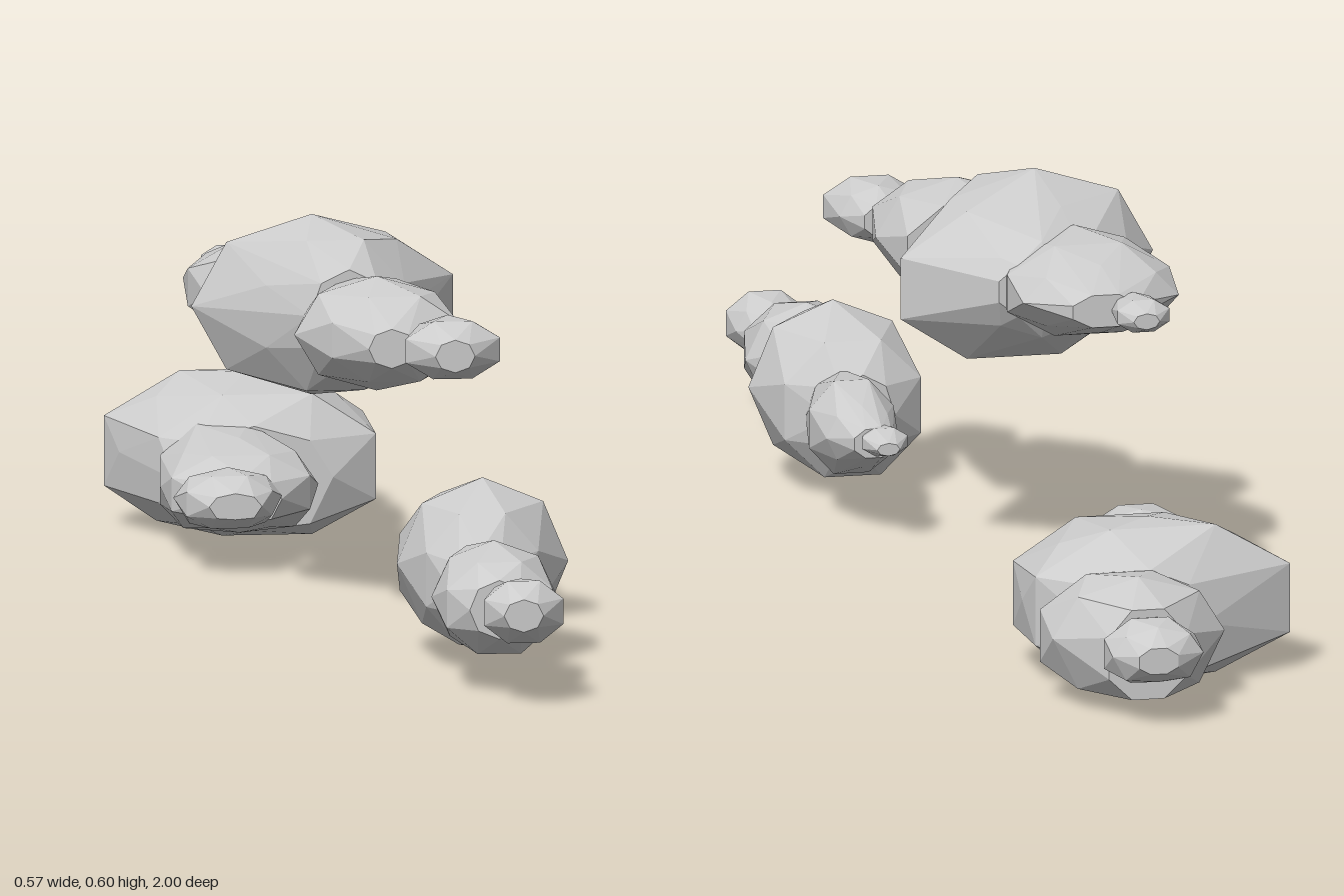
import * as THREE from 'three';
import { ConvexGeometry } from 'three/addons/geometries/ConvexGeometry.js';

const SIDES = 8;
const material = new THREE.MeshStandardMaterial({ color: 0xcccccc, flatShading: true });

// One faceted puff: hull of octagonal rings, each ring [z, xMin, xMax, yMin, yMax].
// Every other ring is turned half a step; flat widens the underside.
function puff(name, rings, flat = 1) {
  const points = [];
  rings.forEach(([z, x0, x1, y0, y1], r) => {
    const turn = r % 2 ? 0.5 : 0;
    const grow = r % 2 ? 1 / Math.cos(Math.PI / SIDES) : 1;
    for (let i = 0; i < SIDES; i++) {
      const a = ((i + turn) / SIDES) * Math.PI * 2;
      let s = Math.sin(a) * grow;
      if (s < 0) s = Math.max(-1, s * flat);
      points.push(new THREE.Vector3(
        (x0 + x1) / 2 + Math.cos(a) * grow * (x1 - x0) / 2,
        (y0 + y1) / 2 + s * (y1 - y0) / 2,
        z
      ));
    }
  });
  const mesh = new THREE.Mesh(new ConvexGeometry(points), material);
  mesh.name = name;
  return mesh;
}

const PUFF_NAMES = ['frontTipPuff', 'frontPuff', 'mainPuff', 'rearPuff', 'rearTipPuff'];

// A cloud is a row of five overlapping puffs, listed front to back
function cloud(name, puffs, flat) {
  const group = new THREE.Group();
  group.name = name;
  puffs.forEach((rings, i) => group.add(puff(PUFF_NAMES[i], rings, flat)));
  return group;
}

export function createModel() {
  const model = new THREE.Group();
  model.name = 'clouds';

  // Low cloud at the front
  model.add(cloud('frontCloud', [
    [[1, 0.14, 0.2, 0.12, 0.17], [0.95, 0.115, 0.235, 0.095, 0.19],
      [0.9, 0.12, 0.23, 0.1, 0.185], [0.86, 0.14, 0.21, 0.11, 0.17]],
    [[0.885, 0.1, 0.19, 0.09, 0.18], [0.84, 0.07, 0.23, 0.06, 0.2],
      [0.76, 0.055, 0.245, 0.05, 0.22], [0.69, 0.08, 0.2, 0.07, 0.2]],
    [[0.7, 0.09, 0.18, 0.08, 0.19], [0.64, 0.06, 0.23, 0.04, 0.24],
      [0.55, 0.025, 0.285, 0.02, 0.28], [0.45, 0.04, 0.25, 0.03, 0.24],
      [0.4, 0.09, 0.19, 0.07, 0.2]],
    [[0.44, 0.11, 0.22, 0.06, 0.2], [0.32, 0.11, 0.24, 0.07, 0.215],
      [0.24, 0.12, 0.23, 0.1, 0.195], [0.18, 0.14, 0.2, 0.13, 0.175]],
    [[0.21, 0.13, 0.18, 0.14, 0.175], [0.17, 0.12, 0.19, 0.135, 0.178],
      [0.13, 0.14, 0.175, 0.145, 0.165]],
  ]));

  // High cloud in the middle
  model.add(cloud('highCloud', [
    [[0.49, 0.09, 0.15, 0.43, 0.48], [0.44, 0.05, 0.193, 0.412, 0.5],
      [0.38, 0.06, 0.18, 0.41, 0.5], [0.34, 0.09, 0.15, 0.43, 0.48]],
    [[0.385, 0, 0.07, 0.42, 0.48], [0.33, -0.05, 0.14, 0.39, 0.52],
      [0.26, -0.1, 0.15, 0.365, 0.54], [0.17, -0.07, 0.12, 0.37, 0.52]],
    [[0.2, -0.07, 0.05, 0.4, 0.54], [0.14, -0.13, 0.08, 0.345, 0.575],
      [0.06, -0.235, 0.13, 0.326, 0.602], [-0.015, -0.18, 0.17, 0.33, 0.56],
      [-0.1, -0.12, 0.06, 0.38, 0.53], [-0.12, -0.06, 0.04, 0.42, 0.5]],
    [[-0.05, -0.2, 0.02, 0.38, 0.54], [-0.13, -0.22, 0.03, 0.39, 0.53],
      [-0.2, -0.22, 0.02, 0.41, 0.515], [-0.28, -0.14, -0.04, 0.44, 0.49]],
    [[-0.27, -0.17, -0.1, 0.44, 0.49], [-0.32, -0.18, -0.1, 0.44, 0.49],
      [-0.345, -0.16, -0.12, 0.45, 0.475]],
  ]));

  // Low cloud at the back, with a flatter underside
  model.add(cloud('backCloud', [
    [[-0.2, -0.18, -0.1, 0.09, 0.13], [-0.24, -0.21, -0.08, 0.07, 0.15],
      [-0.29, -0.225, -0.06, 0.065, 0.155], [-0.33, -0.18, -0.1, 0.09, 0.13]],
    [[-0.29, -0.17, -0.06, 0.07, 0.14], [-0.36, -0.22, -0.01, 0.05, 0.16],
      [-0.43, -0.23, 0.01, 0.03, 0.175], [-0.53, -0.22, -0.03, 0.02, 0.18]],
    [[-0.5, -0.2, 0.04, 0.02, 0.18], [-0.55, -0.22, 0.11, 0.005, 0.22],
      [-0.64, -0.27, 0.115, 0, 0.24], [-0.69, -0.288, 0.105, 0.005, 0.235],
      [-0.77, -0.14, 0.03, 0.015, 0.19]],
    [[-0.73, -0.1, 0.08, 0.02, 0.18], [-0.77, -0.13, 0.115, 0.015, 0.19],
      [-0.84, -0.155, 0.11, 0.02, 0.2], [-0.92, -0.08, 0.04, 0.03, 0.17]],
    [[-0.89, -0.07, 0.03, 0.07, 0.15], [-0.93, -0.09, 0.05, 0.06, 0.16],
      [-0.97, -0.095, 0.045, 0.07, 0.155], [-1, -0.05, 0.01, 0.09, 0.13]],
  ], 1.25));

  return model;
}
